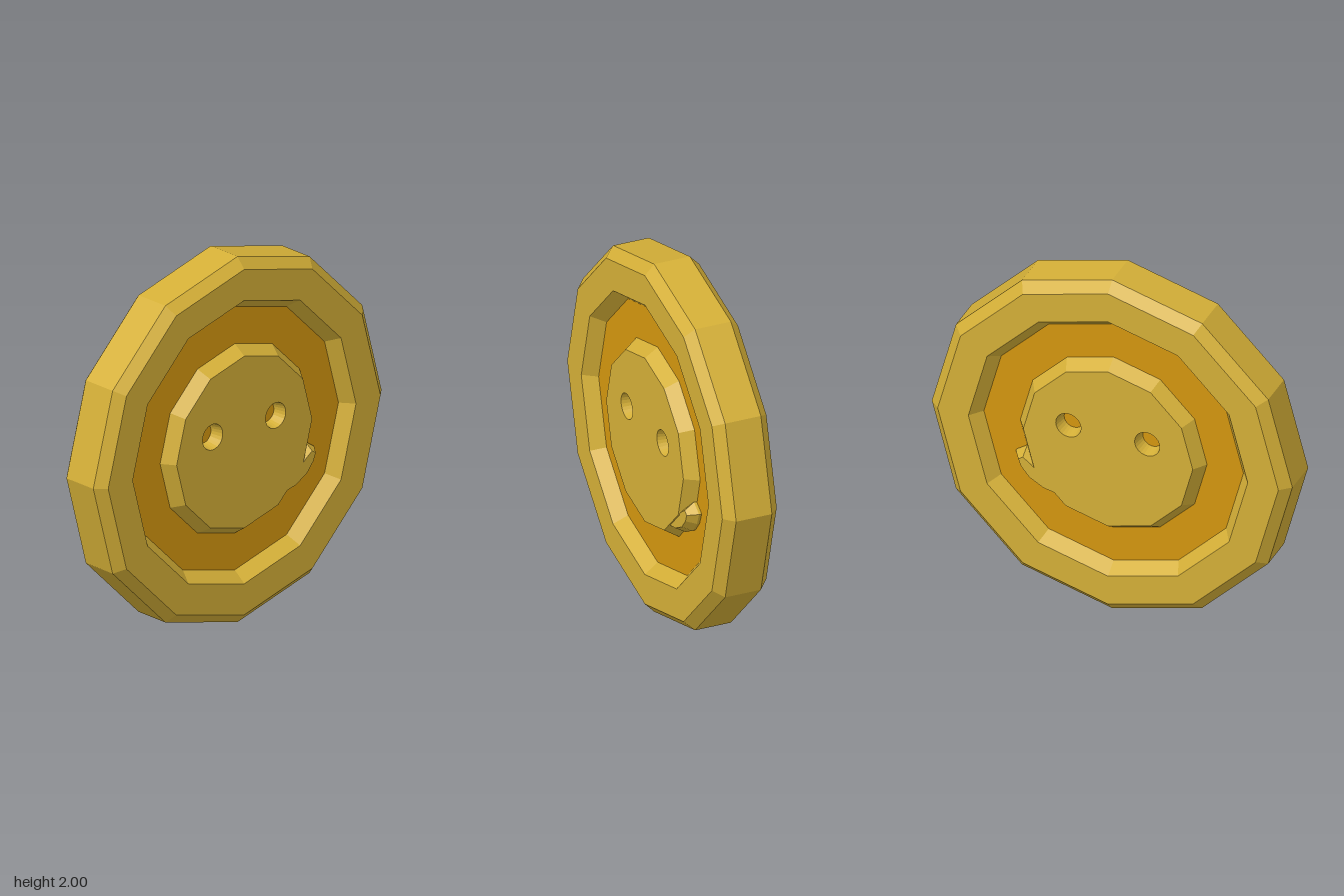
import * as THREE from 'three';

const gold = new THREE.MeshStandardMaterial({ color: 0xd4af37, flatShading: true });
gold.name = 'gold';
const orange = new THREE.MeshStandardMaterial({ color: 0xd4960f, flatShading: true });
orange.name = 'orange';

const SIDES = 12;
const HALF = 0.152;   // half thickness of the rim and button
const PLATE = 0.08;   // half thickness of the recessed plate
const EYES = [[-0.22, 0.087], [0.217, 0.087]];

function part(parent, name, geometry, material) {
  const mesh = new THREE.Mesh(geometry, material);
  mesh.name = name;
  parent.add(mesh);
  return mesh;
}

// Twelve-sided turned shape around the z axis, from [radius, z] points
function turned(points) {
  const profile = points.map(([r, z]) => new THREE.Vector2(r, z));
  return new THREE.LatheGeometry(profile, SIDES).rotateX(Math.PI / 2);
}

// Button face with two eye holes
function faceShape(radius) {
  const corners = [];
  for (let i = 0; i < SIDES; i++) {
    const a = (i / SIDES) * Math.PI * 2;
    corners.push(new THREE.Vector2(radius * Math.cos(a), radius * Math.sin(a)));
  }
  const shape = new THREE.Shape(corners);
  for (const [x, y] of EYES) {
    shape.holes.push(new THREE.Path().absarc(x, y, 0.07, 0, Math.PI * 2, true));
  }
  return shape;
}

export function createModel() {
  const model = new THREE.Group();
  const coin = new THREE.Group();
  coin.name = 'coin';
  coin.position.y = 1;
  coin.rotation.y = 0.01;
  model.add(coin);

  // Chamfered outer rim
  part(coin, 'rim', turned([
    [0.72, -PLATE], [0.775, -HALF], [0.945, -HALF], [1, -0.1],
    [1, 0.1], [0.945, HALF], [0.775, HALF], [0.72, PLATE],
  ]), gold);

  // Recessed plate
  part(coin, 'plate',
    new THREE.CylinderGeometry(0.73, 0.73, PLATE * 2, SIDES).rotateX(Math.PI / 2), orange);

  // Raised central button
  part(coin, 'buttonSide', turned([
    [0.47, -HALF], [0.518, -PLATE], [0.518, PLATE], [0.47, HALF],
  ]), gold);

  // Button face and eye walls, front and back
  for (const [label, turn] of [['front', 0], ['back', Math.PI]]) {
    const side = new THREE.Group();
    side.name = label + 'Face';
    side.rotation.y = turn;
    coin.add(side);
    part(side, 'buttonFace', new THREE.ShapeGeometry(faceShape(0.47), 12), gold).position.z = HALF;
    for (const [x, y] of EYES) {
      const wall = new THREE.CylinderGeometry(0.07, 0.055, HALF - PLATE, 24, 1, true);
      wall.rotateX(Math.PI / 2);
      // Mirror the winding so the wall faces into the hole
      wall.setIndex(Array.from(wall.index.array).reverse());
      part(side, 'eyeWall', wall, gold).position.set(x, y, (HALF + PLATE) / 2);
    }
  }

  // Curved smile tip that sticks out past the button
  const smile = new THREE.Shape([
    [0.24, -0.36], [0.36, -0.335], [0.44, -0.29], [0.485, -0.235], [0.5, -0.195],
    [0.475, -0.178], [0.43, -0.21], [0.36, -0.28], [0.28, -0.33],
  ].map(([x, y]) => new THREE.Vector2(x, y)));
  part(coin, 'smileTip', new THREE.ExtrudeGeometry(smile, {
    depth: 0.19, bevelThickness: 0.052, bevelSize: 0.03, bevelSegments: 1,
  }).translate(0, 0, -0.095), gold);

  return model;
}
